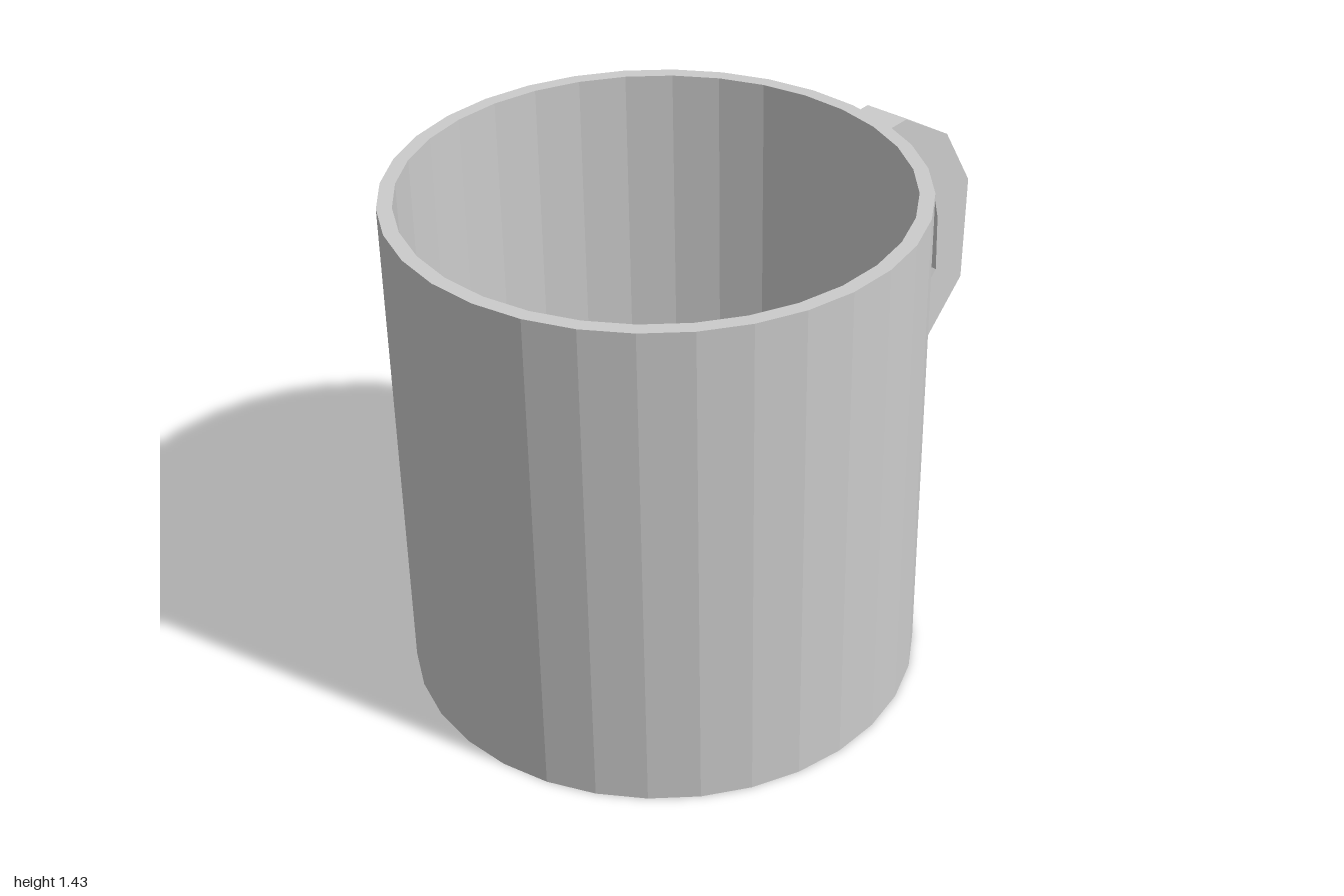
import * as THREE from 'three';

const material = new THREE.MeshStandardMaterial({ color: 0xcccccc, flatShading: true });
const points = (list) => list.map(([a, b]) => new THREE.Vector2(a, b));

function part(name, geometry) {
  const mesh = new THREE.Mesh(geometry, material);
  mesh.name = name;
  return mesh;
}

export function createModel() {
  const group = new THREE.Group();
  group.name = 'mug';

  // Hollow cup: underside, outer wall, rim, inner wall, floor
  const sides = 32;
  const profile = points([[0, 0], [0.71, 0], [0.71, 1.43], [0.67, 1.43], [0.67, 0.04], [0, 0.04]]);
  const cup = part('cup', new THREE.LatheGeometry(profile, sides, Math.PI / sides));
  cup.position.z = 0.29;
  group.add(cup);

  // Faceted handle: side outline as (z, y), extruded across x
  const outer = [[-0.405, 1.21], [-0.525, 1.28], [-0.68, 1.285], [-0.88, 1.165],
    [-1, 0.97], [-0.99, 0.64], [-0.79, 0.45], [-0.405, 0.255]];
  const inner = [[-0.405, 0.43], [-0.66, 0.53], [-0.86, 0.72], [-0.855, 0.9],
    [-0.82, 1.03], [-0.67, 1.13], [-0.56, 1.13], [-0.405, 1.01]];
  const outline = new THREE.Shape(points([...outer, ...inner]));
  const handle = new THREE.ExtrudeGeometry(outline, { depth: 0.14, bevelEnabled: false });
  handle.rotateY(-Math.PI / 2).translate(0.056, 0, 0);
  group.add(part('handle', handle));

  return group;
}
